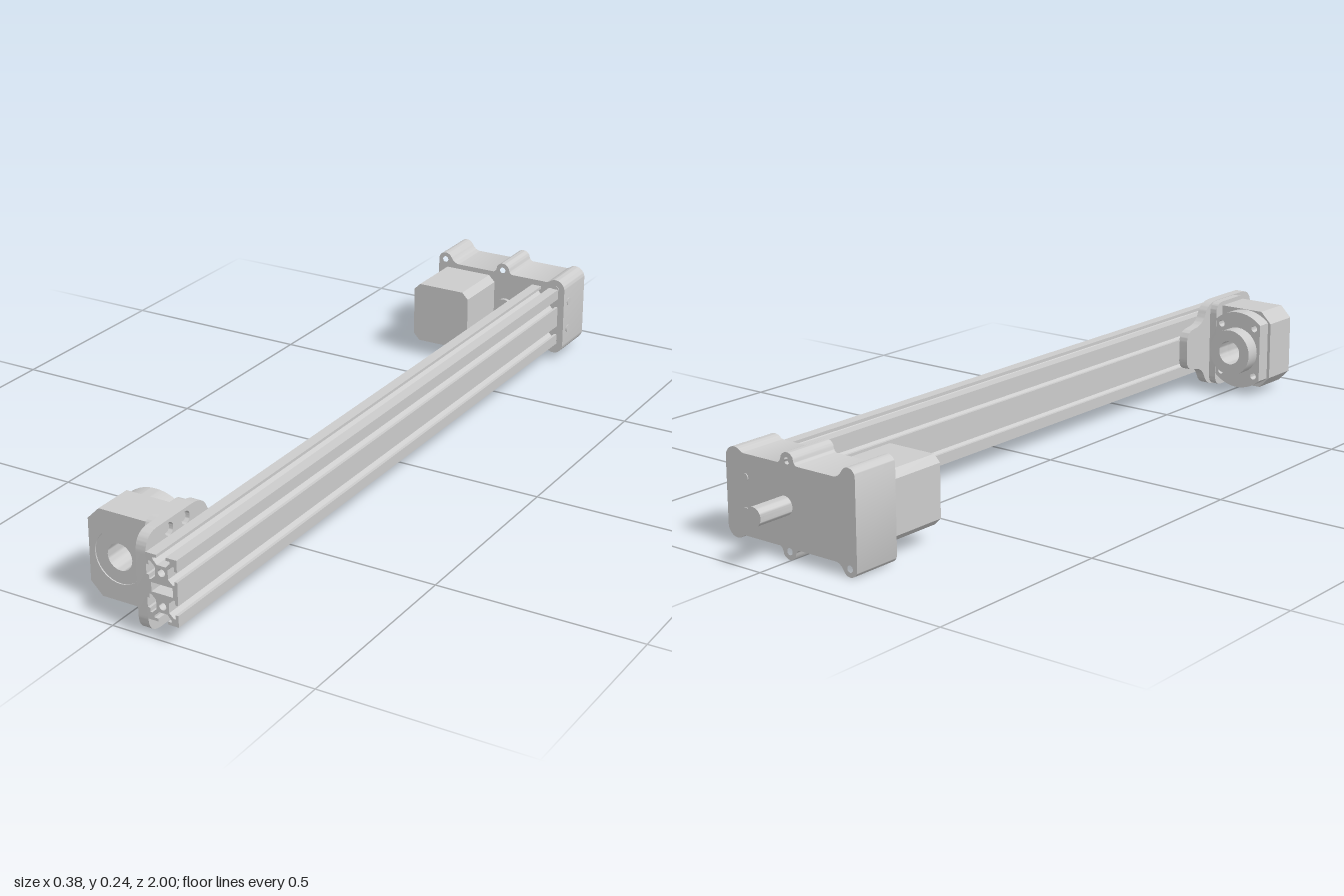
import * as THREE from 'three';
import { toCreasedNormals } from 'three/addons/utils/BufferGeometryUtils.js';

const CY = 0.122; // height of the common centre line
const mat = new THREE.MeshStandardMaterial({ color: 0xcccccc });

function add(parent, name, geo, x = 0, y = 0, z = 0) {
  const mesh = new THREE.Mesh(toCreasedNormals(geo, 0.6), mat);
  mesh.name = name;
  mesh.position.set(x, y, z);
  parent.add(mesh);
  return mesh;
}

const extrude = (shape, depth) =>
  new THREE.ExtrudeGeometry(shape, { depth, bevelEnabled: false, curveSegments: 16 });

// Side plates: shape x runs along -z, thickness along +x
const extrudeX = (shape, depth) => extrude(shape, depth).rotateY(Math.PI / 2);

function hole(shape, x, y, r) {
  shape.holes.push(new THREE.Path().absarc(x, y, r, 0, Math.PI * 2, true));
}

const polygon = (pts) => new THREE.Shape(pts.map(([x, y]) => new THREE.Vector2(x, y)));

// Polygon with every corner rounded: points are [x, y, radius]
function rounded(pts) {
  const s = new THREE.Shape();
  const n = pts.length;
  pts.forEach(([x, y, r], i) => {
    const p = new THREE.Vector2(x, y);
    const toward = (q) => {
      const d = new THREE.Vector2(q[0], q[1]).sub(p);
      return d.setLength(Math.min(r, d.length() * 0.5)).add(p);
    };
    const a = toward(pts[(i + n - 1) % n]);
    const b = toward(pts[(i + 1) % n]);
    if (i === 0) s.moveTo(a.x, a.y); else s.lineTo(a.x, a.y);
    s.quadraticCurveTo(x, y, b.x, b.y);
  });
  s.closePath();
  return s;
}

function cylinderZ(r, length) {
  return new THREE.CylinderGeometry(r, r, length, 32).rotateX(Math.PI / 2);
}

// Annulus extruded along z
function tube(rOut, rIn, depth) {
  const s = new THREE.Shape().absarc(0, 0, rOut, 0, Math.PI * 2, false);
  hole(s, 0, 0, rIn);
  return extrude(s, depth);
}

// Double T-slot rail cross-section, centred on the origin
function railShape() {
  const W = 0.039, H = 0.078;
  const slot = [[-0.0117, 0], [-0.0117, 0.007], [-0.0215, 0.007], [-0.0215, 0.012], [-0.011, 0.023],
    [0.011, 0.023], [0.0215, 0.012], [0.0215, 0.007], [0.0117, 0.007], [0.0117, 0]];
  const pts = [[-W, -H]];
  slot.forEach(([u, d]) => pts.push([u, -H + d]));
  pts.push([W, -H]);
  for (const c of [-W, W]) slot.forEach(([u, d]) => pts.push([W - d, c + u]));
  pts.push([W, H]);
  slot.forEach(([u, d]) => pts.push([-u, H - d]));
  pts.push([-W, H]);
  for (const c of [W, -W]) slot.forEach(([u, d]) => pts.push([-W + d, c - u]));
  const s = polygon(pts);
  for (const y of [-W, W]) hole(s, 0, y, 0.009);
  s.holes.push(polygon([[-0.027, -0.011], [-0.027, 0.011], [0.027, 0.011], [0.027, -0.011]]));
  return s;
}

// Drive housing outline: upper half with screw lobes, mirrored downwards
function housingShape() {
  const p = new THREE.Path();
  p.moveTo(-0.19, 0.1);
  p.absarc(-0.17, 0.101, 0.02, Math.PI, 0.5, true);
  p.quadraticCurveTo(-0.143, 0.094, -0.128, 0.094);
  p.lineTo(-0.025, 0.094);
  p.quadraticCurveTo(-0.016, 0.094, -0.013, 0.106);
  p.absarc(0.005, 0.101, 0.02, Math.PI - 0.5, 0.5, true);
  p.quadraticCurveTo(0.026, 0.094, 0.035, 0.094);
  p.lineTo(0.135, 0.094);
  p.quadraticCurveTo(0.144, 0.095, 0.149, 0.1);
  p.absarc(0.163, 0.077, 0.027, 2.1, 0, true);
  const top = p.getPoints(10);
  const bottom = top.slice().reverse().map((v) => new THREE.Vector2(v.x, -v.y));
  const s = new THREE.Shape([...top, ...bottom]);
  for (const x of [-0.17, 0.005]) for (const y of [-0.102, 0.102]) hole(s, x, y, 0.008);
  return s;
}

// Motor at the back: chamfered square can
function motorShape() {
  const a = 0.081, b = 0.064;
  return polygon([[-a, -b], [-b, -a], [b, -a], [a, -b], [a, b], [b, a], [-b, a], [-a, b]]);
}

// Disc with two flat sides
function flangeShape() {
  const r = 0.104, t = Math.acos(0.07 / r);
  const s = new THREE.Shape();
  s.absarc(0, 0, r, t, Math.PI - t, false);
  s.absarc(0, 0, r, Math.PI + t, 2 * Math.PI - t, false);
  s.closePath();
  hole(s, 0, 0, 0.032);
  for (const x of [-0.052, 0.052]) for (const y of [-0.066, 0.066]) hole(s, x, y, 0.009);
  return s;
}

export function createModel() {
  const model = new THREE.Group();
  model.name = 'linearDrive';

  add(model, 'rail', extrude(railShape(), 1.78), 0.133, 0.123, -0.78);

  // Rear drive unit
  const drive = new THREE.Group();
  drive.name = 'driveUnit';
  model.add(drive);
  add(drive, 'driveHousing', extrude(housingShape(), 0.125), 0, CY, -0.905);
  add(drive, 'motor', extrude(motorShape(), 0.157), -0.1, CY, -0.782);
  add(drive, 'outputShaft', cylinderZ(0.022, 0.1), 0.015, CY, -0.95);
  add(drive, 'shaftBoss', cylinderZ(0.023, 0.012), 0.015, CY, -0.776);
  for (const y of [0.084, 0.162]) {
    add(drive, 'rearScrew', cylinderZ(0.01, 0.004), 0.133, y, -0.905);
    add(drive, 'sideScrew', cylinderZ(0.01, 0.004).rotateY(Math.PI / 2), 0.19, y, -0.808);
  }
  for (const y of [0.045, 0.199]) add(drive, 'frontScrew', cylinderZ(0.01, 0.004), 0.164, y, -0.78);

  // Front bracket: broad plate with a tapered tongue along the rail
  const front = new THREE.Group();
  front.name = 'bearingUnit';
  model.add(front);
  const plate = rounded([[-1, 0.005, 0.045], [-0.79, 0.005, 0.045], [-0.765, 0.06, 0.03], [-0.69, 0.07, 0.03],
    [-0.69, 0.174, 0.03], [-0.765, 0.184, 0.03], [-0.79, 0.239, 0.045], [-1, 0.239, 0.045]]);
  const pad = rounded([[-0.94, 0.006, 0.03], [-0.8, 0.006, 0.03], [-0.8, 0.238, 0.03], [-0.94, 0.238, 0.03]]);
  for (const z of [0.855, 0.915]) {
    for (const y of [0.028, 0.216]) {
      hole(plate, -z, y, 0.015);
      add(front, 'plateScrew', cylinderZ(0.011, 0.016).rotateY(Math.PI / 2), 0.079, y, z);
    }
  }
  add(front, 'mountingPlate', extrudeX(plate, 0.025), 0.07);
  add(front, 'spacerPad', extrudeX(pad, 0.02), 0.05);

  // Bearing block with a through bore
  const block = polygon([[-0.078, -0.075], [-0.048, -0.105], [0.079, -0.105], [0.079, 0.105],
    [-0.048, 0.105], [-0.078, 0.075]]);
  hole(block, 0, 0, 0.063);
  const bx = -0.027;
  add(front, 'bearingBlock', extrude(block, 0.1), bx, CY, 0.83);
  add(front, 'bearingRing', tube(0.063, 0.032, 0.097), bx, CY, 0.83);
  add(front, 'hubFlange', extrude(flangeShape(), 0.04), bx, CY, 0.79);
  add(front, 'hub', tube(0.062, 0.032, 0.042), bx, CY, 0.75);

  // Centre exactly on the ground frame
  const box = new THREE.Box3().setFromObject(model);
  const c = box.getCenter(new THREE.Vector3());
  model.children.forEach((o) => o.position.sub(new THREE.Vector3(c.x, box.min.y, c.z)));
  return model;
}
